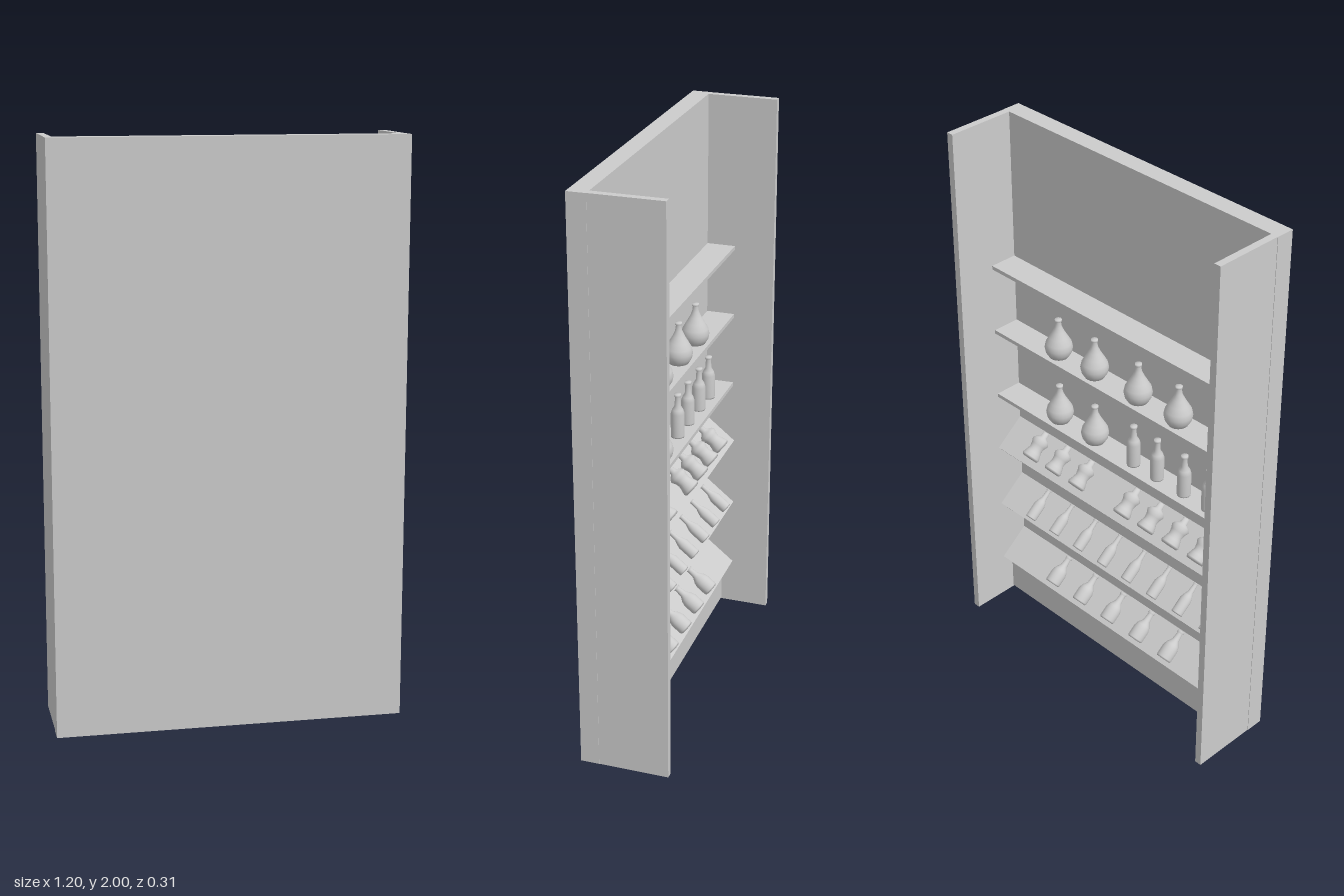
import * as THREE from 'three';

const material = new THREE.MeshStandardMaterial({ color: 0xcccccc, side: THREE.DoubleSide });

function box(parent, name, w, h, d, x, y, z) {
  const mesh = new THREE.Mesh(new THREE.BoxGeometry(w, h, d), material);
  mesh.name = name;
  mesh.position.set(x, y, z);
  parent.add(mesh);
  return mesh;
}

// Bottle profiles: [radius, height] from the base up
const profiles = {
  carafe: [[0, 0], [0.034, 0], [0.045, 0.018], [0.049, 0.037], [0.045, 0.056], [0.033, 0.077],
    [0.021, 0.098], [0.012, 0.118], [0.009, 0.138], [0.012, 0.139], [0.012, 0.147], [0, 0.147]],
  tallBottle: [[0, 0], [0.023, 0], [0.024, 0.005], [0.024, 0.088], [0.019, 0.103], [0.011, 0.117],
    [0.009, 0.15], [0.012, 0.151], [0.012, 0.16], [0, 0.16]],
  waistedBottle: [[0, 0], [0.03, 0], [0.034, 0.008], [0.028, 0.026], [0.024, 0.04], [0.027, 0.056],
    [0.033, 0.07], [0.027, 0.08], [0.013, 0.09], [0.011, 0.11], [0, 0.11]],
  slimBottle: [[0, 0], [0.02, 0], [0.021, 0.004], [0.021, 0.058], [0.016, 0.074], [0.01, 0.088],
    [0.008, 0.12], [0.01, 0.121], [0.01, 0.127], [0, 0.127]],
  roundBottle: [[0, 0], [0.026, 0], [0.029, 0.006], [0.029, 0.045], [0.024, 0.061], [0.013, 0.078],
    [0.01, 0.108], [0.013, 0.109], [0.013, 0.118], [0, 0.118]],
};
const bottles = {};
for (const [name, points] of Object.entries(profiles)) {
  bottles[name] = new THREE.LatheGeometry(points.map(([r, y]) => new THREE.Vector2(r, y)), 24);
}

function bottle(parent, name, x, y, z) {
  const mesh = new THREE.Mesh(bottles[name], material);
  mesh.name = name;
  mesh.position.set(x, y, z);
  parent.add(mesh);
  return mesh;
}

export function createModel() {
  const model = new THREE.Group();
  model.name = 'bottleCabinet';

  // Case: solid front panel and two side walls, open at the back
  box(model, 'frontPanel', 1.2, 2, 0.065, 0, 1, 0.1225);
  for (const s of [-1, 1]) box(model, 'sideWall', 0.025, 2, 0.245, s * 0.586, 1, -0.0325);
  box(model, 'kickBoard', 1.15, 0.18, 0.015, 0, 0.095, 0.032);

  // Flat shelves
  for (const top of [1.457, 1.197, 0.927]) {
    box(model, 'flatShelf', 1.15, 0.014, 0.104, 0, top - 0.007, 0.04);
  }
  for (const x of [0.297, 0.12, -0.087, -0.271]) bottle(model, 'carafe', x, 1.197, 0.037);
  for (const x of [0.297, 0.12]) bottle(model, 'carafe', x, 0.927, 0.037);
  for (const x of [-0.07, -0.182, -0.307, -0.418]) bottle(model, 'tallBottle', x, 0.927, 0.035);

  // Sloping shelves with bottles lying on them, necks toward the panel
  const slopes = [
    { y: 0.69, name: 'waistedBottle', r: 0.034, start: 0.025,
      xs: [0.402, 0.285, 0.163, -0.065, -0.18, -0.297, -0.415] },
    { y: 0.432, name: 'slimBottle', r: 0.021, start: 0.012,
      xs: [0.405, 0.28, 0.155, 0.03, -0.093, -0.217, -0.342, -0.47] },
    { y: 0.174, name: 'roundBottle', r: 0.029, start: 0.018,
      xs: [0.295, 0.15, 0.005, -0.14, -0.285] },
  ];
  for (const { y, name, r, start, xs } of slopes) {
    const shelf = new THREE.Group();
    shelf.name = 'slopingShelf';
    shelf.position.set(0, y, -0.019);
    shelf.rotation.x = -0.68;
    box(shelf, 'shelfBoard', 1.15, 0.013, 0.148, 0, -0.0065, 0.074);
    for (const x of xs) bottle(shelf, name, x, r, start).rotation.x = Math.PI / 2;
    model.add(shelf);
  }
  return model;
}
